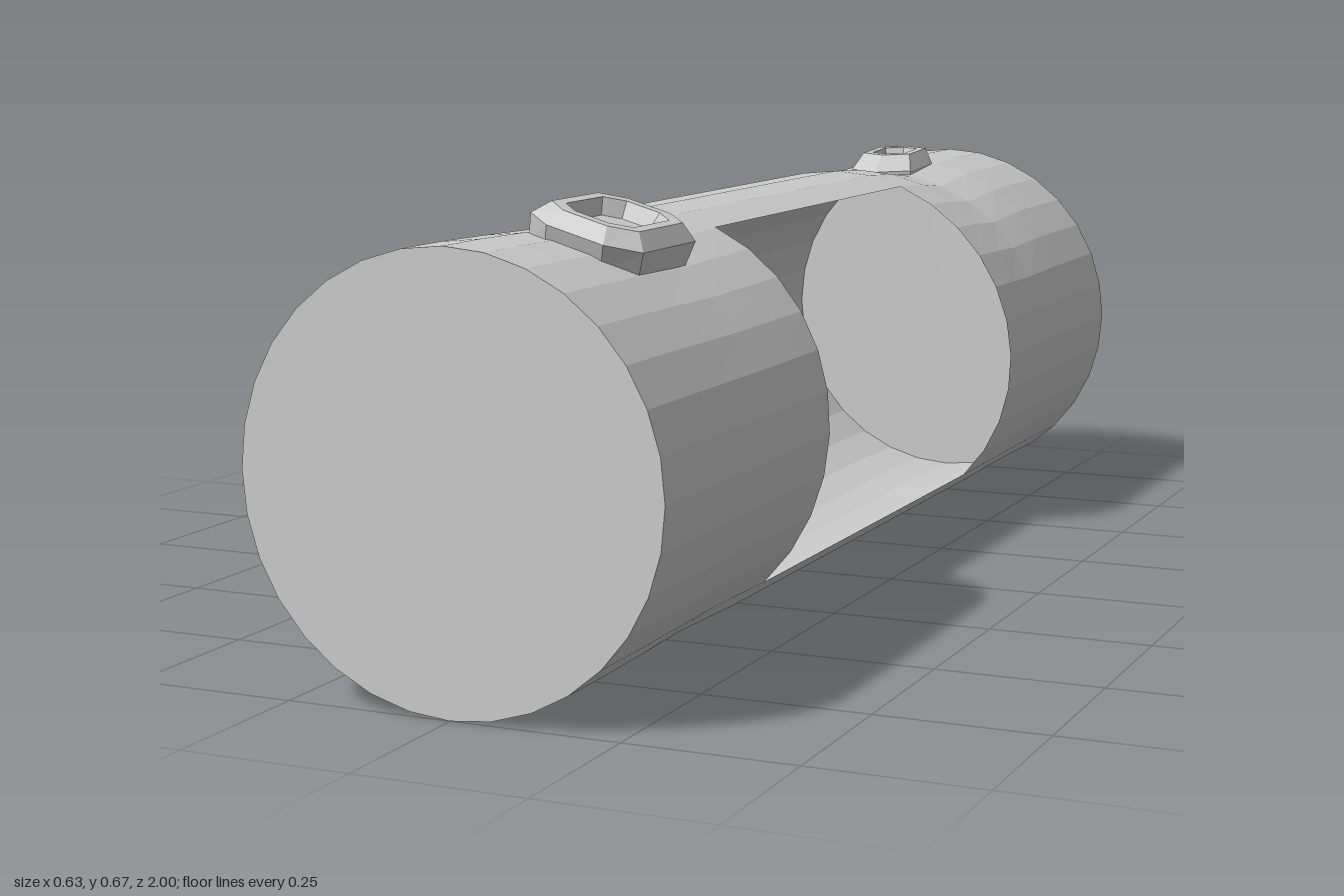
import * as THREE from 'three';

const R = 0.315, CY = 0.316, SIDES = 32;
const mat = new THREE.MeshStandardMaterial({ color: 0xcccccc, flatShading: true, side: THREE.DoubleSide });

function mesh(name, geometry, parent) {
  const m = new THREE.Mesh(geometry, mat);
  m.name = name;
  parent.add(m);
  return m;
}

// Joins rows of points into quads, leaving out any that skip(i, j) rejects
function skin(rows, skip = () => false) {
  const pos = [], index = [], n = rows[0].length;
  rows.forEach(row => row.forEach(p => pos.push(...p)));
  for (let i = 0; i < rows.length - 1; i++) {
    for (let j = 0; j < n - 1; j++) {
      if (skip(i, j)) continue;
      const a = i * n + j, b = a + 1, c = a + n + 1, d = a + n;
      index.push(a, b, c, a, c, d);
    }
  }
  const g = new THREE.BufferGeometry();
  g.setAttribute('position', new THREE.Float32BufferAttribute(pos, 3));
  g.setIndex(index);
  g.computeVertexNormals();
  return g;
}

// Hollow log: thin bark, slightly dented above and below, opened on the left side
function barkGeometry() {
  const bump = (z, c, w) => Math.exp(-(((z - c) / w) ** 2));
  const rows = [];
  for (let i = 0; i <= SIDES; i++) {
    const t = i / SIDES * Math.PI * 2, s = Math.sin(t), c = Math.cos(t);
    // The opening's ends lean outwards towards its lower edge
    const lean = THREE.MathUtils.clamp((0.607 - CY - R * c) / 0.515, 0, 1);
    const stations = [-1, -0.85, -0.74, -0.6, -0.5, -0.385 - 0.06 * lean,
      0.407 + 0.055 * lean, 0.52, 0.65, 0.78, 0.9, 1];
    rows.push(stations.map(z => {
      const dent = c > 0
        ? -c * c * (0.018 * bump(z, -0.6, 0.1) + 0.007 * bump(z, 0.65, 0.14))
        : c * c * (0.008 * bump(z, 0.65, 0.14) + 0.004 * bump(z, -0.8, 0.1));
      return [R * s, CY + R * c + dent, z];
    }));
  }
  return skin(rows, (i, j) => j === 5 && i >= 2 && i < 12);
}

// Branch stub: rings of [half width, half length, height, z shift], last one is the pit floor
function stubGeometry(outline, rings) {
  const loops = rings.map(([w, l, y, dz]) =>
    [...outline, outline[0]].map(([x, z]) => [x * w, y, z * l + dz]));
  const [, , y, dz] = rings[rings.length - 1];
  loops.push(loops[0].map(() => [0, y, dz]));
  return skin(loops);
}

export function createModel() {
  const log = new THREE.Group();
  log.name = 'hollowLog';

  mesh('bark', barkGeometry(), log);

  // Flat end discs
  for (const s of [1, -1]) {
    const end = mesh(s > 0 ? 'frontEnd' : 'backEnd', new THREE.CircleGeometry(R, SIDES), log);
    end.position.set(0, CY, s);
    if (s < 0) end.rotation.y = Math.PI;
  }

  // Large stub, leaning to the left
  const octagon = [[1, 0.7], [0.5, 1], [-0.5, 1], [-1, 0.7], [-1, -0.7], [-0.5, -1], [0.5, -1], [1, -0.7]];
  const large = mesh('largeStub', stubGeometry(octagon.reverse(), [
    [0.086, 0.105, -0.025, 0], [0.088, 0.12, 0.014, 0], [0.068, 0.1, 0.036, 0],
    [0.053, 0.08, 0.036, 0], [0.045, 0.07, 0.012, 0],
  ]), log);
  large.position.set(0.095, 0.619, 0.7);
  large.rotation.z = -0.28;

  // Small stub, its rim set back and tipped up at the rear
  const hexagon = [[0, -1], [1, -0.65], [1, 0.65], [0, 1], [-1, 0.65], [-1, -0.65]];
  const small = mesh('smallStub', stubGeometry(hexagon, [
    [0.057, 0.09, -0.02, 0], [0.057, 0.09, 0.003, 0], [0.045, 0.068, 0.03, -0.015],
    [0.031, 0.05, 0.03, -0.015], [0.027, 0.043, 0.013, -0.015],
  ]), log);
  small.position.set(0, 0.617, -0.67);
  small.rotation.x = 0.06;

  return log;
}
